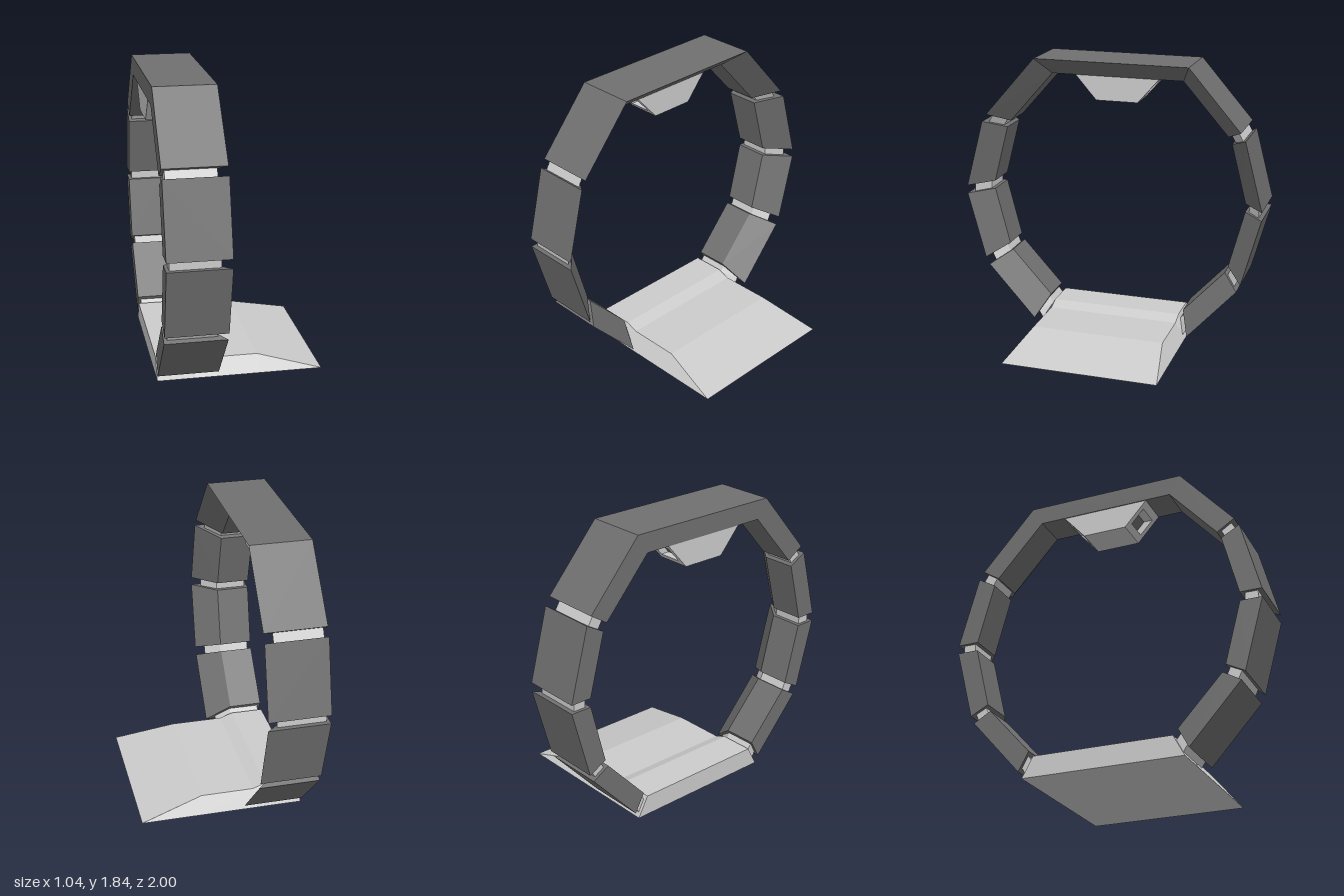
import * as THREE from 'three';

const material = (color) => new THREE.MeshStandardMaterial({ color, flatShading: true });

// Capped loft through rings of equal point count; faces always turned outward
function loft(rings) {
  const tris = [];
  const n = rings[0].length;
  for (let r = 0; r < rings.length - 1; r++) {
    for (let i = 0; i < n; i++) {
      const j = (i + 1) % n;
      const a = rings[r][i], b = rings[r][j], c = rings[r + 1][j], d = rings[r + 1][i];
      tris.push([a, b, c], [a, c, d]);
    }
  }
  const first = rings[0], last = rings[rings.length - 1];
  for (let i = 1; i < n - 1; i++) {
    tris.push([first[0], first[i + 1], first[i]], [last[0], last[i], last[i + 1]]);
  }
  const v = (p) => new THREE.Vector3(...p);
  const volume = tris.reduce((s, [a, b, c]) => s + v(a).dot(v(b).cross(v(c))), 0);
  if (volume < 0) tris.forEach((t) => t.reverse());
  const geometry = new THREE.BufferGeometry();
  geometry.setAttribute('position', new THREE.Float32BufferAttribute(tris.flat(2), 3));
  geometry.computeVertexNormals();
  return geometry;
}

// Cross-section of the hoop at [outer z, outer y, inner z, inner y]:
// flat back, right side bevelled toward the inside
const section = ([zo, yo, zi, yi], side, xs = [-0.52, -0.14, -0.30, -0.52]) => [
  [xs[0], yo, side * zo], [xs[1], yo, side * zo],
  [xs[2], yi, side * zi], [xs[3], yi, side * zi],
];

export function createModel() {
  const model = new THREE.Group();
  const dark = material(0x707070);
  const light = material(0xcccccc);
  const add = (name, rings, mat) => {
    const mesh = new THREE.Mesh(loft(rings), mat);
    mesh.name = name;
    model.add(mesh);
  };

  // Top arch: flat crown with a sloped shoulder on each side
  const crown = [0.51, 1.84, 0.44, 1.72];
  const shoulder = [0.85, 1.45, 0.74, 1.38];
  add('topArch', [
    section(shoulder, 1), section(crown, 1), section(crown, -1), section(shoulder, -1),
  ], dark);

  // Side segments from top to bottom, as start and end sections
  const segments = [
    [[0.88, 1.40, 0.765, 1.335], [1.0, 0.95, 0.865, 0.95]],
    [[1.0, 0.895, 0.865, 0.895], [0.88, 0.45, 0.765, 0.51]],
    [[0.855, 0.40, 0.745, 0.465], [0.535, 0.045, 0.47, 0.165]],
  ];
  const baseEnd = [0.51, 0.0, 0.44, 0.13];

  // Slimmer section used by the connectors
  const slim = ([zo, yo, zi, yi]) => {
    const mix = (a, b, t) => a + (b - a) * t;
    return [mix(zo, zi, 0.22), mix(yo, yi, 0.22), mix(zo, zi, 0.81), mix(yo, yi, 0.81)];
  };
  for (const side of [1, -1]) {
    const word = side > 0 ? 'front' : 'back';
    let above = shoulder;
    segments.forEach(([start, end], i) => {
      add(`${word}Segment${i + 1}`, [section(start, side), section(end, side)], dark);
    });
    [...segments, [baseEnd]].forEach(([start, end], i) => {
      const xs = [-0.50, -0.20, -0.30, -0.50];
      add(`${word}Connector${i + 1}`,
        [section(slim(above), side, xs), section(slim(start), side, xs)], light);
      above = end;
    });
  }

  // Base with a ramp: [x, height, half depth at the top]
  const ramp = [
    [-0.52, 0.13, 0.44], [-0.30, 0.13, 0.44], [-0.22, 0.10, 0.44],
    [0.12, 0.10, 0.44], [0.52, 0.001, 0.51],
  ];
  add('rampBase', ramp.map(([x, y, h]) => [
    [x, 0, -0.51], [x, 0, 0.51], [x, y, h], [x, y, -h],
  ]), light);

  // Hanging housing under the arch, with a framed recess in each sloped end
  const endRing = (side, inset, depth) => {
    const point = (x, y) => [x, y, side * (0.14 + (y - 1.56) * 0.875 - depth)];
    const [x0, x1, y0, y1] = [-0.515 + inset, -0.30 - inset, 1.56 + inset, 1.72 - inset];
    return [point(x0, y0), point(x1, y0), point(x1, y1), point(x0, y1)];
  };
  add('hangingHousing', [
    endRing(1, 0.035, 0.06), endRing(1, 0.035, 0), endRing(1, 0, 0),
    endRing(-1, 0, 0), endRing(-1, 0.035, 0), endRing(-1, 0.035, 0.06),
  ], light);
  add('recessPanels', [endRing(1, 0.036, 0.055), endRing(-1, 0.036, 0.055)], dark);

  return model;
}
